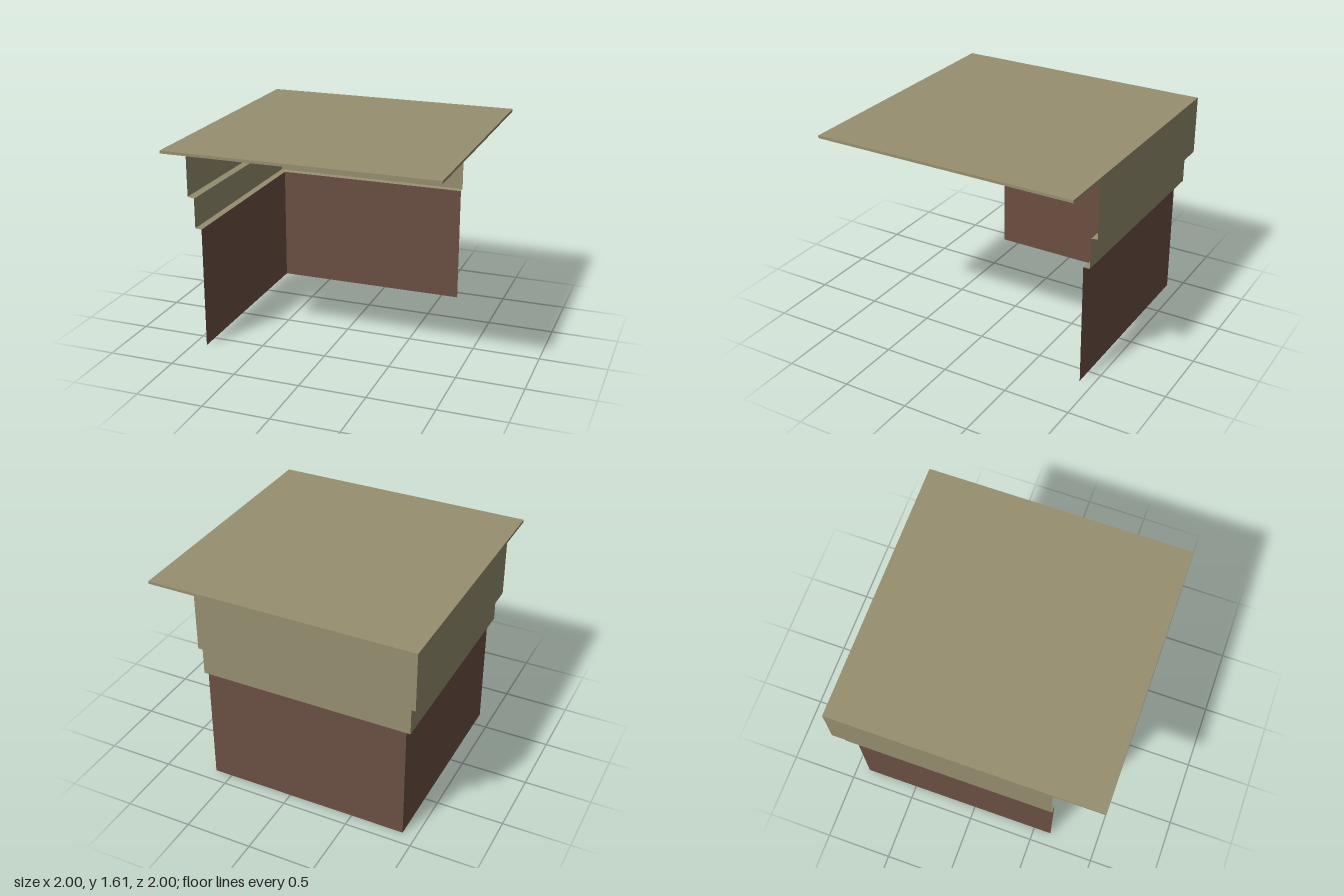
import * as THREE from 'three';

const END = 0.635; // open ends of both walls

// Sweep a profile of [distance out, height] around the mitred back corner
function cornerStrip(name, profile, material) {
  const path = d => [[END, -d], [-d, -d], [-d, END]];
  const positions = [];
  for (let i = 0; i < profile.length - 1; i++) {
    const [d0, y0] = profile[i];
    const [d1, y1] = profile[i + 1];
    const low = path(d0).map(([x, z]) => [x, y0, z]);
    const high = path(d1).map(([x, z]) => [x, y1, z]);
    for (let j = 0; j < 2; j++) {
      positions.push(
        ...low[j], ...low[j + 1], ...high[j + 1],
        ...low[j], ...high[j + 1], ...high[j]
      );
    }
  }
  const geometry = new THREE.BufferGeometry();
  geometry.setAttribute('position', new THREE.Float32BufferAttribute(positions, 3));
  geometry.computeVertexNormals();
  const mesh = new THREE.Mesh(geometry, material);
  mesh.name = name;
  return mesh;
}

export function createModel() {
  const model = new THREE.Group();
  model.name = 'cornerBlock';

  const stone = new THREE.MeshStandardMaterial({ color: 0x968f70, side: THREE.DoubleSide });
  stone.name = 'tan stone';
  const brick = new THREE.MeshStandardMaterial({ color: 0x6b4f42, side: THREE.DoubleSide });
  brick.name = 'brown wall';

  // Two thin walls meeting at the back right corner
  model.add(cornerStrip('walls', [[0.9, 0], [0.9, 0.926]], brick));

  // Stepped cornice, open on the inside
  model.add(cornerStrip('cornice', [
    [0.9, 0.926], [0.95, 0.93], [0.95, 1.157], [1, 1.167], [1, 1.59]
  ], stone));

  // Square roof slab
  const roof = new THREE.Mesh(new THREE.BoxGeometry(2, 0.02, 2), stone);
  roof.name = 'roofSlab';
  roof.position.y = 1.6;
  model.add(roof);

  return model;
}
